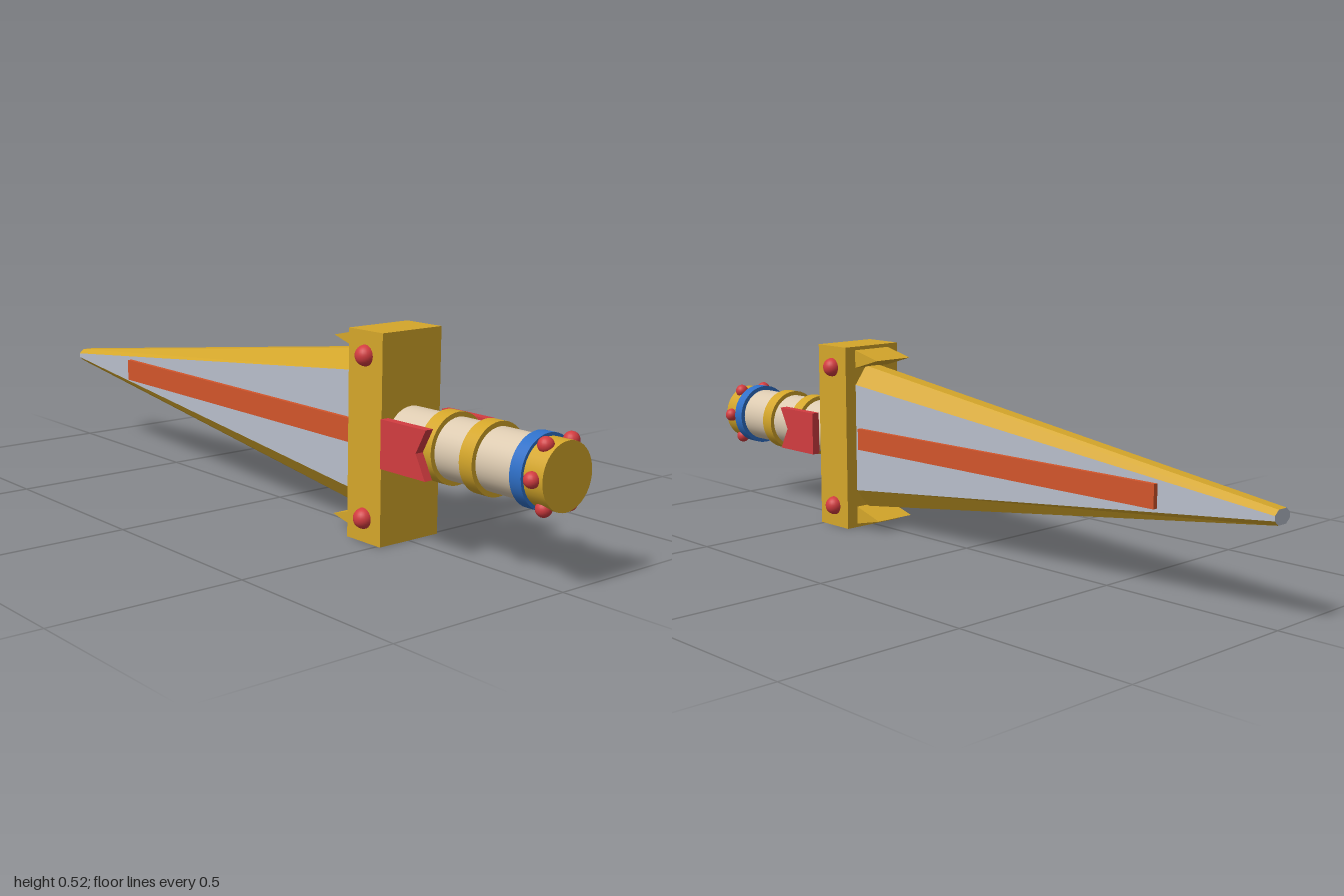
import * as THREE from 'three';

const CY = 0.26; // height of the long axis

function material(name, color, flat = false) {
  const m = new THREE.MeshStandardMaterial({ color, flatShading: flat });
  m.name = name;
  return m;
}

export function createModel() {
  const group = new THREE.Group();
  const gold = material('gold', 0xd4a62a);
  const silver = material('silver', 0xb8becb);
  const red = material('red', 0xd23c40);
  const orange = material('orange', 0xd2552b);
  const blue = material('blue', 0x2f70c8);
  const tan = material('tan', 0xdccab0);

  const add = (name, geometry, mat, x = 0, y = CY, z = 0) => {
    const mesh = new THREE.Mesh(geometry, mat);
    mesh.name = name;
    mesh.position.set(x, y, z);
    group.add(mesh);
    return mesh;
  };

  // Drum lying along z between two depths
  const drum = (name, r, z0, z1, mat) =>
    add(name, new THREE.CylinderGeometry(r, r, z1 - z0, 40).rotateX(Math.PI / 2), mat, 0, CY, (z0 + z1) / 2);

  // Side profile of [z, y] points extruded along x
  const plate = (points, width) => {
    const shape = new THREE.Shape(points.map(([z, y]) => new THREE.Vector2(-z, y)));
    return new THREE.ExtrudeGeometry(shape, { depth: width, bevelEnabled: false })
      .translate(0, 0, -width / 2).rotateY(Math.PI / 2);
  };

  // Blade: eight-sided section tapering from guard to tip
  const section = (fx, fy, tx, ty, z) => [
    [fx, fy, z], [tx, ty, z], [-tx, ty, z], [-fx, fy, z],
    [-fx, -fy, z], [-tx, -ty, z], [tx, -ty, z], [fx, -fy, z],
  ];
  const base = section(0.06, 0.153, 0.021, 0.205, 0.4);
  const tip = section(0.029, 0.006, 0.015, 0.018, -1);
  const edges = [];
  const flats = [];
  for (let i = 0; i < 8; i++) {
    const j = (i + 1) % 8;
    const list = i === 3 || i === 7 ? flats : edges;
    list.push(tip[i], tip[j], base[j], tip[i], base[j], base[i]);
    if (i > 0 && i < 7) flats.push(tip[0], tip[i + 1], tip[i]);
  }
  const faces = (list) => {
    const g = new THREE.BufferGeometry();
    g.setAttribute('position', new THREE.Float32BufferAttribute(list.flat(), 3));
    g.computeVertexNormals();
    return g;
  };
  add('bladeEdges', faces(edges), gold);
  add('bladeFlats', faces(flats), silver);

  // Guard block
  add('guard', new THREE.BoxGeometry(0.19, 0.52, 0.12), gold, 0, CY, 0.45);

  // Grip, bands and pommel
  drum('grip', 0.076, 0.5, 0.92, tan);
  drum('innerGripBand', 0.088, 0.63, 0.67, gold);
  drum('outerGripBand', 0.088, 0.76, 0.8, gold);
  drum('pommelCollar', 0.088, 0.912, 0.946, blue);
  drum('pommel', 0.08, 0.94, 1, gold);

  // Studs around the pommel
  for (let i = 0; i < 6; i++) {
    const a = (i * Math.PI) / 3;
    add('pommelStud', new THREE.SphereGeometry(0.019, 20, 14), red,
      0.082 * Math.cos(a), CY + 0.082 * Math.sin(a), 0.972);
  }

  for (const s of [-1, 1]) {
    // Spike beside the blade, above and below
    add('guardSpike', plate([[0.39, 0.2 * s], [0.39, 0.25 * s], [0.295, 0.228 * s]], 0.12), gold);

    // Studs on the guard ends
    for (const t of [-1, 1]) {
      add('guardStud', new THREE.SphereGeometry(0.026, 24, 16), red, 0.095 * s, CY + 0.2 * t, 0.45);
    }

    // Notched tab beside the grip
    add('gripTab', plate([[0.525, -0.06], [0.525, 0.06], [0.677, 0.06], [0.645, 0], [0.677, -0.06]], 0.023),
      red, 0.1 * s);

    // Raised strip following the taper of the blade side
    const strip = new THREE.BoxGeometry(0.03, 0.06, 1.05);
    const p = strip.attributes.position;
    for (let i = 0; i < p.count; i++) {
      p.setX(i, p.getX(i) + s * (p.getZ(i) > 0 ? 0.056 : 0.034));
    }
    strip.computeVertexNormals();
    add('bladeStrip', strip, orange, 0, CY, -0.155);
  }

  return group;
}
